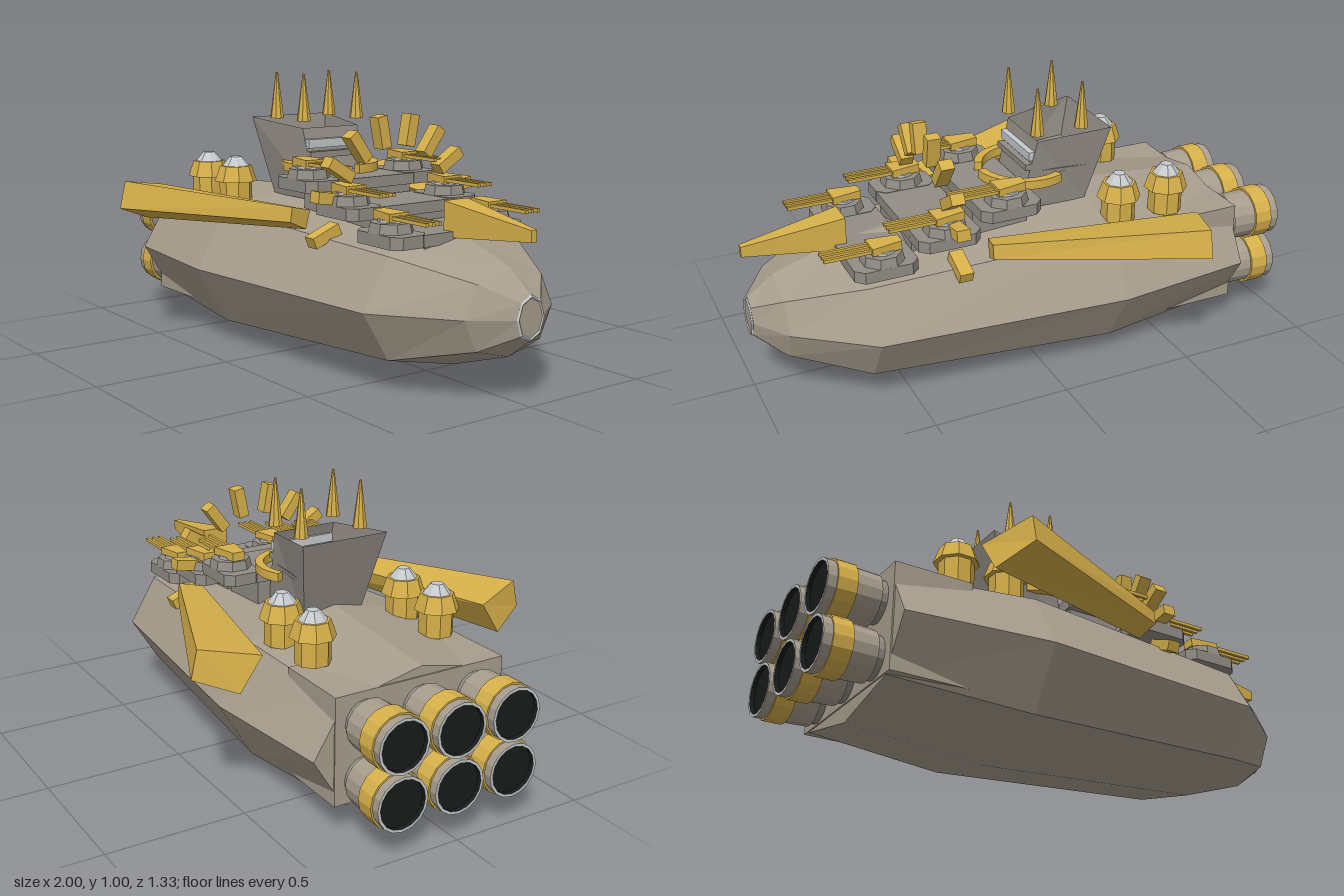
import * as THREE from 'three';

const mat = (name, color, extra = {}) => {
  const m = new THREE.MeshStandardMaterial({ color, flatShading: true, ...extra });
  m.name = name;
  return m;
};

export function createModel() {
  const root = new THREE.Group();
  root.name = 'spaceBattleship';
  const hullGrey = mat('hullGrey', 0xa79d8d);
  const deckGrey = mat('deckGrey', 0x928c85, { side: THREE.DoubleSide });
  const gold = mat('gold', 0xd6b04a);
  const silver = mat('silver', 0xc6cacd);
  const dark = mat('engineBlack', 0x191b1b, { side: THREE.DoubleSide });

  const add = (name, geo, material, x = 0, y = 0, z = 0, parent = root) => {
    const m = new THREE.Mesh(geo, material);
    m.name = name;
    m.position.set(x, y, z);
    parent.add(m);
    return m;
  };
  const box = (name, material, x0, x1, y0, y1, z0, z1, parent) =>
    add(name, new THREE.BoxGeometry(x1 - x0, y1 - y0, z1 - z0), material,
      (x0 + x1) / 2, (y0 + y1) / 2, (z0 + z1) / 2, parent);

  // Skin through rings of points, with optional flat end caps
  const loft = (rings, capped = true) => {
    const pos = [];
    const tri = (...pts) => pts.forEach((p) => pos.push(...p));
    const n = rings[0].length;
    for (let i = 0; i < rings.length - 1; i++) {
      for (let k = 0; k < n; k++) {
        const [a, b] = [rings[i][k], rings[i + 1][k]];
        const [c, d] = [rings[i + 1][(k + 1) % n], rings[i][(k + 1) % n]];
        tri(a, b, c);
        tri(a, c, d);
      }
    }
    if (capped) {
      const first = rings[0], last = rings[rings.length - 1];
      for (let k = 1; k < n - 1; k++) {
        tri(first[0], first[k], first[k + 1]);
        tri(last[0], last[k + 1], last[k]);
      }
    }
    const g = new THREE.BufferGeometry();
    g.setAttribute('position', new THREE.Float32BufferAttribute(pos, 3));
    g.computeVertexNormals();
    return g;
  };

  // Eight-sided hull: x, half width, half height
  const section = ([x, w, h]) => [
    [1, 0], [0.73, 0.74], [0, 1], [-0.73, 0.74], [-1, 0], [-0.73, -0.74], [0, -1], [0.73, -0.74],
  ].map(([z, y]) => [x, 0.285 + y * h, z * w]);
  add('hull', loft([
    [-0.78, 0.405, 0.24], [-0.26, 0.462, 0.285], [0.64, 0.385, 0.23],
    [0.9, 0.19, 0.145], [0.995, 0.055, 0.072],
  ].map(section)), hullGrey);
  box('sternBlock', hullGrey, -0.785, -0.5, 0.11, 0.49, -0.33, 0.33);

  // Nose rim
  const rim = new THREE.TorusGeometry(0.062, 0.006, 4, 8);
  rim.rotateY(Math.PI / 2);
  rim.scale(0.8, 1.12, 0.88);
  add('noseRim', rim, silver, 0.994, 0.285, 0);

  // Six engines, axis along x
  const tubeX = (name, material, rBack, rFront, x0, x1, parent, open = true) => {
    const g = new THREE.CylinderGeometry(rBack, rFront, x1 - x0, 16, 1, open);
    g.rotateZ(Math.PI / 2);
    return add(name, g, material, (x0 + x1) / 2, 0, 0, parent);
  };
  for (const y of [0.19, 0.387]) {
    for (const z of [-0.218, 0, 0.218]) {
      const e = new THREE.Group();
      e.name = 'engine';
      e.position.set(0, y, z);
      root.add(e);
      tubeX('engineMount', deckGrey, 0.075, 0.075, -0.83, -0.78, e);
      tubeX('engineShell', hullGrey, 0.095, 0.088, -1, -0.81, e);
      tubeX('engineBand', gold, 0.1, 0.1, -0.968, -0.9, e, false).visible = true;
      tubeX('engineBore', dark, 0.086, 0.07, -1, -0.85, e);
      tubeX('engineCore', dark, 0.086, 0.086, -0.985, -0.895, e, false);
      const lip = new THREE.RingGeometry(0.085, 0.095, 16);
      lip.rotateY(-Math.PI / 2);
      add('engineLip', lip, silver, -1, 0, 0, e);
    }
  }

  // Swept side wings, tapering forwards
  const wing = [
    [[-0.465, 0.505, 0.665], [-0.465, 0.605, 0.642], [-0.537, 0.57, 0.445], [-0.53, 0.45, 0.525]],
    [[0.225, 0.518, 0.375], [0.225, 0.57, 0.368], [0.205, 0.55, 0.28], [0.208, 0.485, 0.3]],
  ];
  add('leftWing', loft(wing), gold);
  add('rightWing', loft(wing.map((r) => r.map(([x, y, z]) => [x, y, -z]).reverse())), gold);

  // Prow ram
  const quad = (x, y0, y1, z) => [[x, y0, z], [x, y1, z], [x, y1, -z], [x, y0, -z]];
  add('prowRam', loft([quad(0.64, 0.493, 0.615, 0.052), quad(1, 0.525, 0.563, 0.012)]), gold);

  // Open-topped bridge tower, with its floor and window band
  const plan = (xf, yf, zf, xb, yb, zb) =>
    [[xf, yf, -zf], [xf, yf, zf], [xb, yb, zb], [xb, yb, -zb]];
  add('bridgeTower', loft([
    plan(0.005, 0.54, 0.11, -0.255, 0.54, 0.12),
    plan(-0.06, 0.802, 0.125, -0.33, 0.828, 0.17),
  ], false), deckGrey);
  add('bridgeFloor', loft([
    plan(-0.03, 0.67, 0.115, -0.288, 0.67, 0.14),
    plan(-0.034, 0.685, 0.116, -0.29, 0.685, 0.143),
  ]), deckGrey);
  box('bridgeWindow', silver, -0.06, -0.028, 0.73, 0.762, -0.12, 0.12);
  box('bridgeSill', deckGrey, -0.045, -0.015, 0.695, 0.718, -0.12, 0.12);

  // Spires
  for (const x of [-0.235, -0.06]) {
    for (const z of [-0.12, 0.12]) {
      add('spire', new THREE.CylinderGeometry(0.004, 0.026, 0.172, 8), gold, x, 0.914, z);
    }
  }

  // Two curved rails around the bridge front
  const arc = (from, to) => {
    const s = new THREE.Shape();
    s.absarc(0, 0, 0.178, from, to, false);
    s.absarc(0, 0, 0.148, to, from, true);
    const g = new THREE.ExtrudeGeometry(s, { depth: 0.032, bevelEnabled: false, curveSegments: 10 });
    g.rotateX(-Math.PI / 2);
    return g;
  };
  add('bridgeRail', arc(0, 2.05), gold, -0.06, 0.645, 0);
  add('bridgeRail', arc(-2.25, -0.38), gold, -0.06, 0.645, 0);

  // Domed pods on the aft deck
  for (const x of [-0.522, -0.325]) {
    for (const z of [-0.25, 0.25]) {
      const oct = (rt, rb, h) => new THREE.CylinderGeometry(rt, rb, h, 8).rotateY(Math.PI / 8);
      add('podFoot', oct(0.062, 0.062, 0.1), gold, x, 0.55, z);
      add('podCollar', oct(0.06, 0.08, 0.058), gold, x, 0.62, z);
      add('podDome', oct(0.022, 0.052, 0.036), silver, x, 0.665, z);
    }
  }

  // Stepped gun terraces, each with a pair of triple turrets
  [[-0.01, 0.605], [0.222, 0.54], [0.453, 0.478]].forEach(([x, y]) => {
    box('terrace', deckGrey, x, x + 0.228, y, y + 0.04, -0.17, 0.17);
    box('terraceSupport', deckGrey, x + 0.01, x + 0.22, 0.44, y, -0.16, 0.16);
    for (const side of [-1, 1]) {
      const t = new THREE.Group();
      t.name = 'turret';
      t.position.set(x + 0.115, y, side * 0.215);
      root.add(t);
      const c = 0.03, w = 0.114, d = 0.072;
      const pad = new THREE.Shape([
        [-w, -d + c], [-w + c, -d], [w - c, -d], [w, -d + c],
        [w, d - c], [w - c, d], [-w + c, d], [-w, d - c],
      ].map(([px, py]) => new THREE.Vector2(px, py)));
      const padGeo = new THREE.ExtrudeGeometry(pad, { depth: 0.042, bevelEnabled: false });
      padGeo.rotateX(-Math.PI / 2);
      add('turretPad', padGeo, deckGrey, 0, 0, 0, t);
      add('turretRing', new THREE.CylinderGeometry(0.07, 0.078, 0.034, 8).rotateY(Math.PI / 8),
        deckGrey, 0, 0.058, 0, t);
      add('turretCollar', new THREE.CylinderGeometry(0.045, 0.045, 0.012, 8), silver, 0, 0.078, 0, t);
      add('gunHouse', loft([quad(-0.065, 0.078, 0.11, 0.024), quad(0.045, 0.08, 0.108, 0.042)]),
        gold, 0, 0, 0, t);
      for (const z of [-0.027, 0, 0.027]) {
        box('gunBarrel', gold, 0.04, 0.212, 0.088, 0.1, z - 0.006, z + 0.006, t);
      }
    }
  });

  // Fan of radial slats across the deck: z, y, lean from upright in degrees
  for (const [z, y, lean] of [
    [0.062, 0.815, 11], [0.163, 0.77, 36], [0.243, 0.697, 58], [0.285, 0.605, 82], [0.305, 0.48, 112],
  ]) {
    for (const side of [-1, 1]) {
      const slat = add('fanSlat', new THREE.BoxGeometry(0.05, 0.112, 0.04), gold, 0.318, y, side * z);
      slat.rotation.x = side * THREE.MathUtils.degToRad(lean);
    }
  }
  return root;
}
